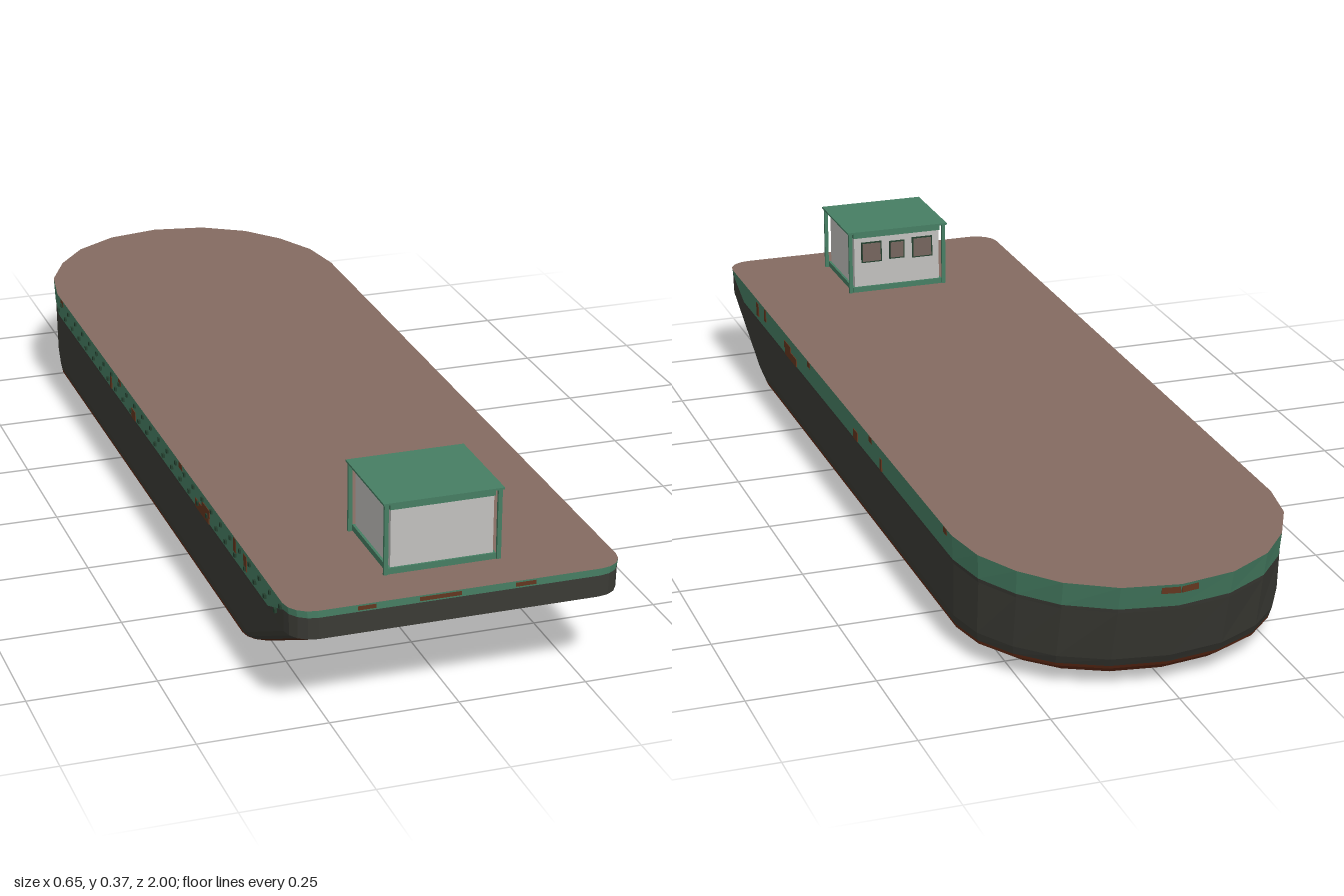
import * as THREE from 'three';

const mat = (name, color) => Object.assign(new THREE.MeshStandardMaterial({ color }), { name });

export function createModel() {
  const deckBrown = mat('deckBrown', 0x846b61);
  const green = mat('paintGreen', 0x467e63);
  const hullGrey = mat('hullGrey', 0x3b3b35);
  const bottomBrown = mat('bottomBrown', 0x4e2815);
  const wornRed = mat('wornRed', 0x612b16);
  const rust = mat('rust', 0x63361f);
  const wallGrey = mat('wallGrey', 0xc2c1be);
  const paneBrown = mat('paneBrown', 0x75655d);
  const darkGreen = mat('darkGreen', 0x24402f);

  const root = new THREE.Group();
  root.name = 'barge';

  const box = (parent, name, m, w, h, d, x, y, z) => {
    const mesh = new THREE.Mesh(new THREE.BoxGeometry(w, h, d), m);
    mesh.name = name;
    mesh.position.set(x, y, z);
    parent.add(mesh);
    return mesh;
  };

  // Hull levels: height, half width, stern z (band flag marks the sloping paint line)
  const levels = [
    { y: 0, w: 0.2, s: -0.83 },
    { y: 0.01, w: 0.25, s: -0.88 },
    { y: 0.022, w: 0.285, s: -0.91 },
    { y: 0.04, w: 0.315, s: -0.935 },
    { y: 0.047, w: 0.3165, s: -0.939 },
    { y: 0.065, w: 0.32, s: -0.95 },
    { y: 0.172, w: 0.32, s: -0.983 },
    { y: 0.18, w: 0.321, s: -0.985, band: true },
    { y: 0.229, w: 0.323, s: -1 },
  ];
  // Stern curve at deck level, shoulder to the middle
  const stern = [[0.323, -0.66], [0.306, -0.76], [0.262, -0.85], [0.2, -0.925], [0.11, -0.98], [0, -1]];
  const arcSteps = 4;

  // Plan outline of one level, running from the bow around the stern and back
  function outline({ y, w, s, band }) {
    const bow = Math.min(1, 0.655 + y * 2);
    const r = 0.05;
    const half = [];
    for (let i = 0; i <= arcSteps; i++) {
      const a = (i / arcSteps) * Math.PI / 2;
      half.push([w - r + r * Math.sin(a), bow - r + r * Math.cos(a), 0.215]);
    }
    half.push([w, Math.min(0.86, bow - 0.06), 0.18]);
    for (const [x, z] of stern) half.push([x * w / 0.323, -0.66 + (z + 0.66) * (s + 0.66) / -0.34, 0.18]);
    const mirrored = half.slice(0, -1).reverse().map(([x, z, b]) => [-x, z, b]);
    return half.concat(mirrored).map(([x, z, b]) => new THREE.Vector3(x, band ? b : y, z));
  }

  const rings = levels.map(outline);
  const n = rings[0].length;
  const parts = { hullBottom: [], lowerStrake: [], hullSides: [], sheerBand: [], deck: [] };
  const tri = (list, ...pts) => pts.forEach(p => list.push(p.x, p.y, p.z));

  for (let k = 0; k < rings.length - 1; k++) {
    for (let i = 0; i < n; i++) {
      const j = (i + 1) % n;
      // The raked bow is the closing segment plus the first arc steps each side
      const rake = i < 2 || i >= n - 3;
      let key = 'hullSides';
      if (k === rings.length - 2) key = 'sheerBand';
      else if (k < 1 || (rake && k < 6)) key = 'hullBottom';
      else if (k < 4) key = 'lowerStrake';
      const [a, b, c, d] = [rings[k][i], rings[k][j], rings[k + 1][j], rings[k + 1][i]];
      tri(parts[key], a, b, c);
      tri(parts[key], a, c, d);
    }
  }
  // Flat bottom and deck
  const top = rings[rings.length - 1];
  for (let i = 0; i < n; i++) {
    const j = (i + 1) % n;
    tri(parts.hullBottom, new THREE.Vector3(0, 0, 0), rings[0][j], rings[0][i]);
    tri(parts.deck, new THREE.Vector3(0, top[0].y, 0), top[i], top[j]);
  }
  const partMats = { hullBottom: bottomBrown, lowerStrake: wornRed, hullSides: hullGrey, sheerBand: green, deck: deckBrown };
  for (const [name, list] of Object.entries(parts)) {
    const g = new THREE.BufferGeometry();
    g.setAttribute('position', new THREE.Float32BufferAttribute(list, 3));
    g.computeVertexNormals();
    const mesh = new THREE.Mesh(g, partMats[name]);
    mesh.name = name;
    root.add(mesh);
  }

  // Rust patches on the painted band: z, y, length, height
  const patches = [[0.73, 0.206, 0.018, 0.03], [0.665, 0.213, 0.015, 0.028], [0.48, 0.203, 0.05, 0.016],
    [0.455, 0.19, 0.09, 0.018], [0.31, 0.222, 0.022, 0.012], [-0.035, 0.192, 0.028, 0.02],
    [-0.14, 0.222, 0.02, 0.012], [-0.21, 0.195, 0.012, 0.026], [-0.62, 0.222, 0.02, 0.012]];
  for (const side of [-1, 1])
    for (const [z, y, l, h] of patches) box(root, 'rustPatch', rust, 0.004, h, l, side * 0.3215, y, z);
  for (const [x, w] of [[-0.18, 0.035], [-0.04, 0.08], [0.125, 0.04]])
    box(root, 'bowRustPatch', rust, w, 0.008, 0.003, x, 0.222, 0.999);
  // Rust on the stern band, laid along the two middle facets
  for (const side of [-1, 1])
    box(root, 'sternRustPatch', rust, 0.035, 0.014, 0.006, side * 0.018, 0.218, -0.992).rotation.y = side * -0.18;

  // Two staggered rows of small fender studs along one side
  for (let i = 0; i < 54; i++)
    box(root, 'fenderStud', darkGreen, 0.006, 0.008, 0.008, -0.323, i % 2 ? 0.217 : 0.195, -0.65 + i * 0.03);

  // Wheelhouse
  const house = new THREE.Group();
  house.name = 'wheelhouse';
  house.position.set(0, 0.229, 0.803);
  root.add(house);
  box(house, 'walls', wallGrey, 0.2, 0.138, 0.19, 0, 0.071, 0);
  box(house, 'baseTrim', green, 0.21, 0.012, 0.198, 0, 0.006, 0);
  box(house, 'headerTrim', green, 0.204, 0.014, 0.194, 0, 0.134, 0);
  box(house, 'roof', green, 0.234, 0.004, 0.208, 0, 0.142, 0);
  for (const sx of [-1, 1])
    for (const sz of [-1, 1])
      box(house, 'cornerPost', green, 0.008, 0.14, 0.006, sx * 0.11, 0.07, sz * 0.098);
  // Windows facing aft along the deck
  for (const [x, w, h] of [[-0.06, 0.042, 0.042], [0, 0.03, 0.036], [0.06, 0.042, 0.042]]) {
    box(house, 'windowFrame', darkGreen, w + 0.006, h + 0.006, 0.004, x, 0.092, -0.0955);
    box(house, 'windowPane', paneBrown, w, h, 0.004, x, 0.092, -0.097);
  }
  return root;
}
